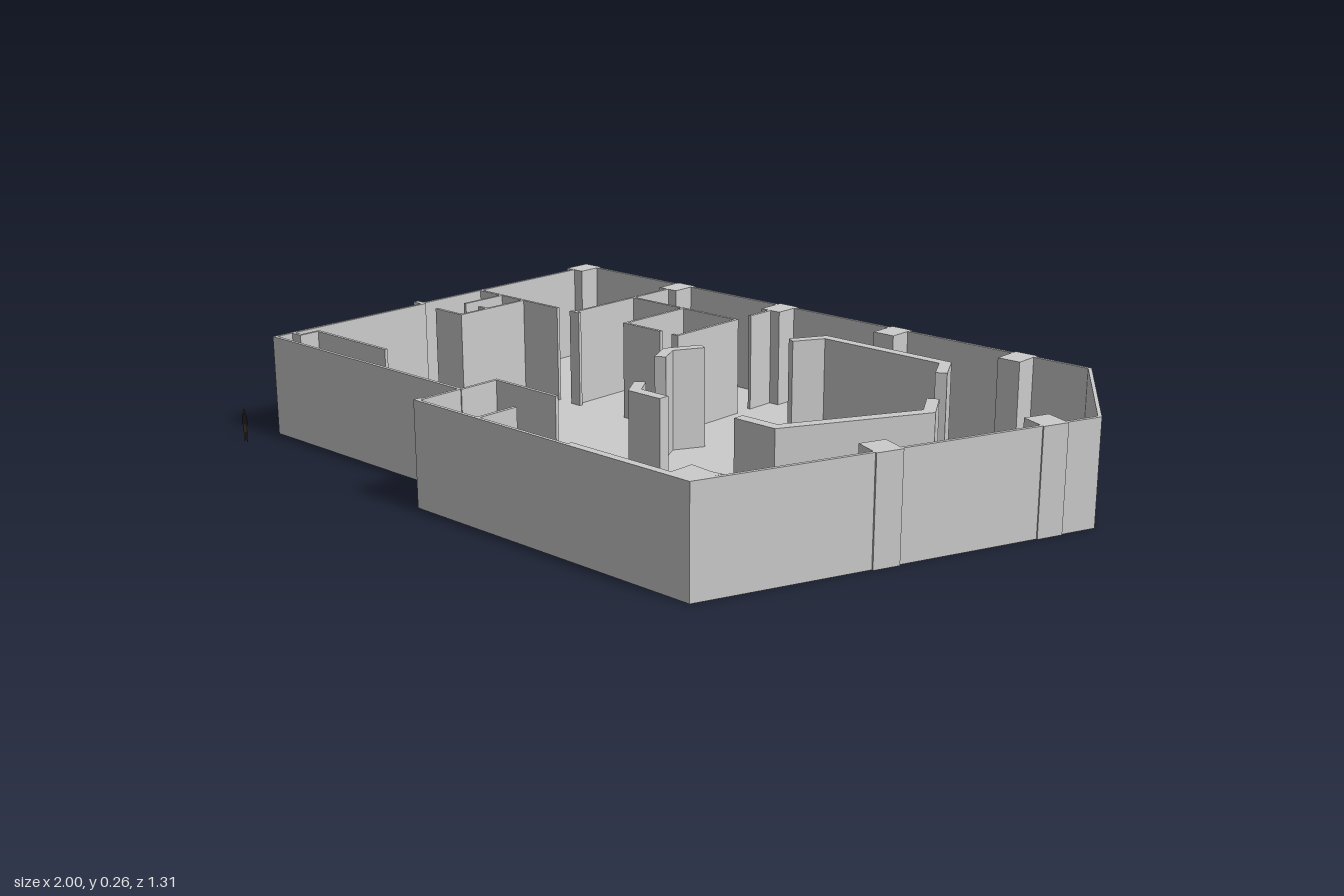
import * as THREE from 'three';

const H = 0.265; // wall height
const grey = new THREE.MeshStandardMaterial({ color: 0xcccccc, flatShading: true, side: THREE.DoubleSide });

// Plan points are [x, z]; shapes are drawn with y = -z and laid flat afterwards.
const toVec = ([x, z]) => new THREE.Vector2(x, -z);

// Hollow block standing on a plan outline: sides and top, open underneath.
function block(outline) {
  const src = new THREE.ExtrudeGeometry(new THREE.Shape(outline.map(toVec)), { depth: H, bevelEnabled: false });
  const p = src.toNonIndexed().attributes.position.array;
  const kept = [];
  for (let i = 0; i < p.length; i += 9) {
    if (p[i + 2] + p[i + 5] + p[i + 8] > 1e-6) kept.push(...p.slice(i, i + 9));
  }
  const geo = new THREE.BufferGeometry();
  geo.setAttribute('position', new THREE.Float32BufferAttribute(kept, 3));
  geo.rotateX(-Math.PI / 2);
  geo.computeVertexNormals();
  return geo;
}

// Plan outline of a wall of even width along a path, with mitred corners.
function ribbon(path, width) {
  const normal = (a, b) => {
    const dx = b[0] - a[0], dz = b[1] - a[1], l = Math.hypot(dx, dz);
    return [-dz / l, dx / l];
  };
  const left = [], right = [];
  path.forEach((p, i) => {
    const n1 = normal(path[Math.max(i - 1, 0)], path[Math.max(i, 1)]);
    const last = path.length - 1;
    const n2 = normal(path[Math.min(i, last - 1)], path[Math.min(i + 1, last)]);
    const k = (width / 2) / (1 + n1[0] * n2[0] + n1[1] * n2[1]);
    const ox = (n1[0] + n2[0]) * k, oz = (n1[1] + n2[1]) * k;
    left.push([p[0] + ox, p[1] + oz]);
    right.unshift([p[0] - ox, p[1] - oz]);
  });
  return [...left, ...right];
}

// Rectangle in plan, optionally turned.
function rect(cx, cz, w, d, angle = 0) {
  const c = Math.cos(angle), s = Math.sin(angle);
  return [[-1, -1], [1, -1], [1, 1], [-1, 1]].map(([a, b]) => {
    const x = a * w / 2, z = b * d / 2;
    return [cx + x * c - z * s, cz + x * s + z * c];
  });
}

export function createModel() {
  const model = new THREE.Group();
  const add = (name, geo, mat = grey, parent = model) => {
    const mesh = new THREE.Mesh(geo, mat);
    mesh.name = name;
    parent.add(mesh);
    return mesh;
  };

  // Free-standing angled display walls
  const displays = [
    [[0.05, -0.36], [0.098, -0.445], [0.473, -0.445], [0.52, -0.36]],
    [[-0.075, -0.16], [-0.12, -0.077], [-0.086, -0.011]],
    [[0.633, -0.165], [0.685, -0.077], [0.505, 0.247], [0.395, 0.247]],
    [[0.035, 0.188], [0.074, 0.247], [0.168, 0.247]],
  ].map(path => ribbon(path, 0.029));
  displays.forEach(o => add('displayWall', block(o)));

  // Floor, open under the display walls
  const floor = new THREE.Shape([
    [-0.972, -0.645], [0.765, -0.645], [0.995, -0.3], [0.615, 0.65],
    [-0.24, 0.65], [-0.24, 0.522], [-0.97, 0.522],
  ].map(toVec));
  displays.forEach(o => floor.holes.push(new THREE.Path(o.map(toVec))));
  add('floor', new THREE.ShapeGeometry(floor).rotateX(-Math.PI / 2));

  // Outer wall, run round from the left side and back again
  add('outerWall', block(ribbon([
    [-0.972, 0.015], [-0.972, -0.641], [0.763, -0.641], [0.99, -0.3],
    [0.612, 0.646], [-0.235, 0.646], [-0.235, 0.518], [-0.964, 0.518], [-0.964, 0.015],
  ], 0.009)));

  // Square pillars on the back wall and turned ones on the slanted wall
  for (let i = 0; i < 5; i++) {
    add('backPillar', block(rect(-0.968 + i * 0.3855, -0.614, 0.064, 0.082)));
  }
  const slant = Math.atan2(0.38, 0.945);
  [[0.917, -0.195], [0.759, 0.204]].forEach(([x, z]) =>
    add('slantedWallPillar', block(rect(x, z, 0.074, 0.068, slant))));
  add('leftWallPost', block(rect(-0.983, 0.017, 0.034, 0.016)));
  add('frontWallPost', block(rect(-0.238, 0.64, 0.016, 0.02)));

  // Thickening of the front wall towards the right corner
  add('frontWallLining', block([[0.255, 0.648], [0.255, 0.63], [0.545, 0.63],
    [0.545, 0.567], [0.605, 0.574], [0.635, 0.57], [0.613, 0.648]]));

  // Thin room partitions, with gaps for doorways
  const partitions = [
    [[-0.972, -0.2], [-0.65, -0.2]],
    [[-0.6, -0.2], [-0.565, -0.2]],
    [[-0.585, -0.575], [-0.585, -0.2]],
    [[-0.585, -0.432], [-0.2, -0.432], [-0.2, -0.2]],
    [[-0.393, -0.432], [-0.393, -0.203], [-0.262, -0.203]],
    [[-0.218, -0.2], [-0.196, -0.2]],
    [[-0.2, -0.575], [-0.2, -0.49]],
    [[-0.88, -0.2], [-0.88, -0.06]],
    [[-0.79, -0.2], [-0.79, 0.031], [-0.893, 0.031]],
    [[-0.824, -0.064], [-0.79, -0.064]],
    [[-0.964, 0.463], [-0.929, 0.463], [-0.929, 0.406], [-0.648, 0.406]],
    [[-0.232, 0.52], [-0.232, 0.406], [-0.024, 0.406]],
    [[-0.03, 0.53], [-0.03, 0.642]],
  ];
  partitions.forEach(path => add('partition', block(ribbon(path, 0.009))));

  // Flat standing figure for scale, outside the front left corner
  const person = new THREE.Group();
  person.name = 'scaleFigure';
  person.position.set(-0.978, 0, 0.62);
  const flat = (name, color, pts) => add(name,
    new THREE.ShapeGeometry(new THREE.Shape(pts.map(([x, y]) => new THREE.Vector2(x, y)))),
    new THREE.MeshStandardMaterial({ color, side: THREE.DoubleSide }), person);
  flat('legs', 0x4a4436, [[-0.009, 0], [-0.003, 0], [0, 0.034], [0.003, 0], [0.009, 0], [0.008, 0.045], [-0.008, 0.045]]);
  flat('torso', 0x262626, [[-0.008, 0.042], [0.008, 0.042], [0.012, 0.046], [0.011, 0.07],
    [0.003, 0.076], [-0.003, 0.076], [-0.011, 0.07], [-0.012, 0.046]]);
  const head = add('head', new THREE.CircleGeometry(0.006, 12),
    new THREE.MeshStandardMaterial({ color: 0x3a2f28, side: THREE.DoubleSide }), person);
  head.position.y = 0.082;
  model.add(person);

  return model;
}
